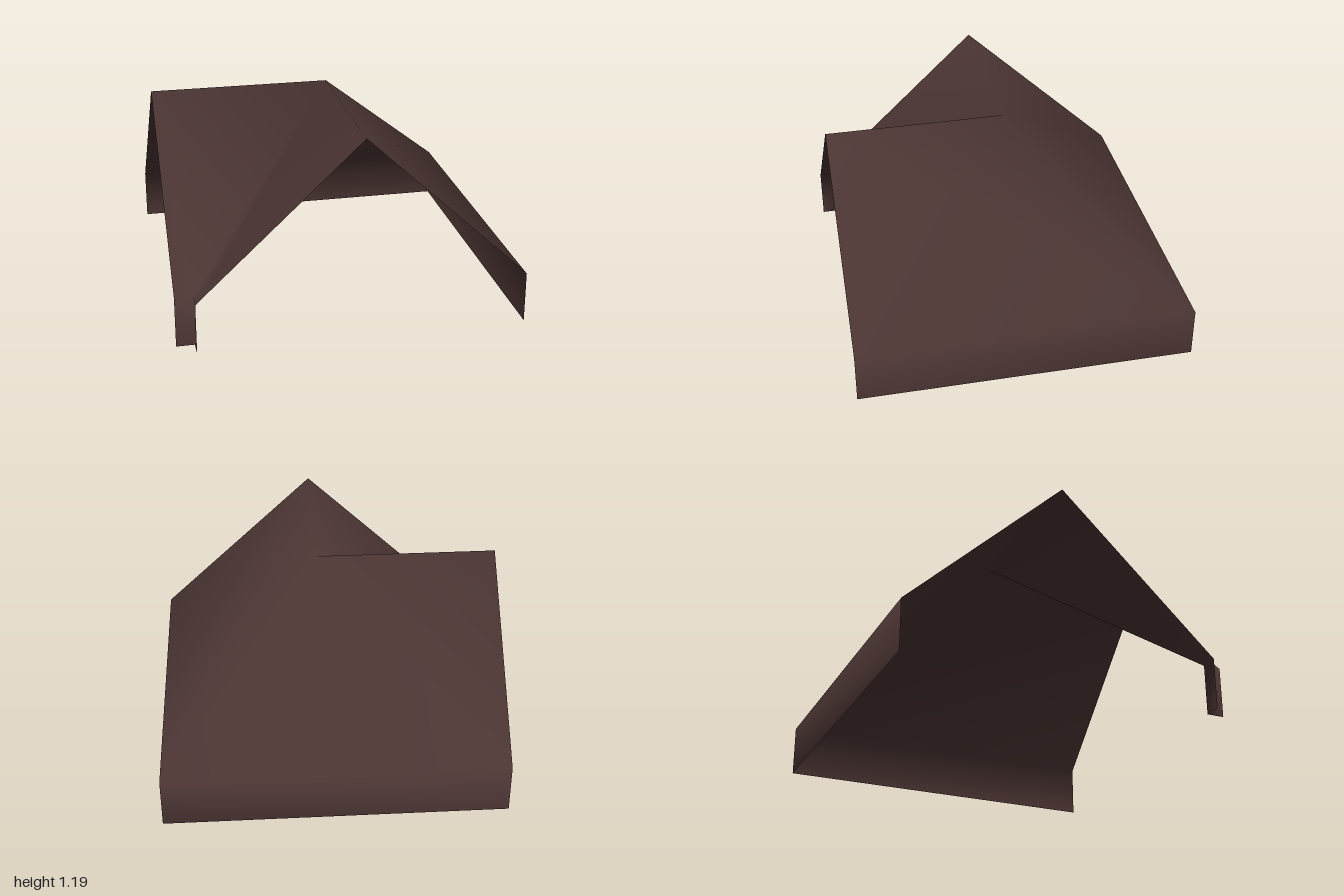
import * as THREE from 'three';

// L-shaped gable roof shell: one roof profile swept around a mitred corner.
export function createModel() {
  const group = new THREE.Group();
  group.name = 'cornerRoof';

  const roofBrown = new THREE.MeshStandardMaterial({ color: 0x4b3533, side: THREE.DoubleSide });
  roofBrown.name = 'roofBrown';

  // Profile as [offset across the wing, height]: outer fascia, ridge, inner fascia
  const profile = [[-1, 0], [-1, 0.3], [-0.05, 1.19], [0.895, 0.3], [0.895, 0]];
  const depth = 0.992;

  // Stations: open end of the side wing, mitre (hip and valley), open end of the front wing
  const stations = [
    (d, y) => [-1, y, d * depth],
    (d, y) => [-d, y, d * depth],
    (d, y) => [-d, y, depth],
  ];

  const positions = stations.flatMap((place) => profile.flatMap(([d, y]) => place(d, y)));
  const index = [];
  const n = profile.length;
  for (let s = 0; s < stations.length - 1; s++) {
    for (let i = 0; i < n - 1; i++) {
      const a = s * n + i, b = a + n, c = b + 1, e = a + 1;
      index.push(a, c, b, a, e, c);
    }
  }

  const geometry = new THREE.BufferGeometry();
  geometry.setAttribute('position', new THREE.Float32BufferAttribute(positions, 3));
  geometry.setIndex(index);
  geometry.computeVertexNormals(); // shared corners give soft shading over the folds

  const shell = new THREE.Mesh(geometry, roofBrown);
  shell.name = 'roofShell';
  group.add(shell);
  return group;
}
